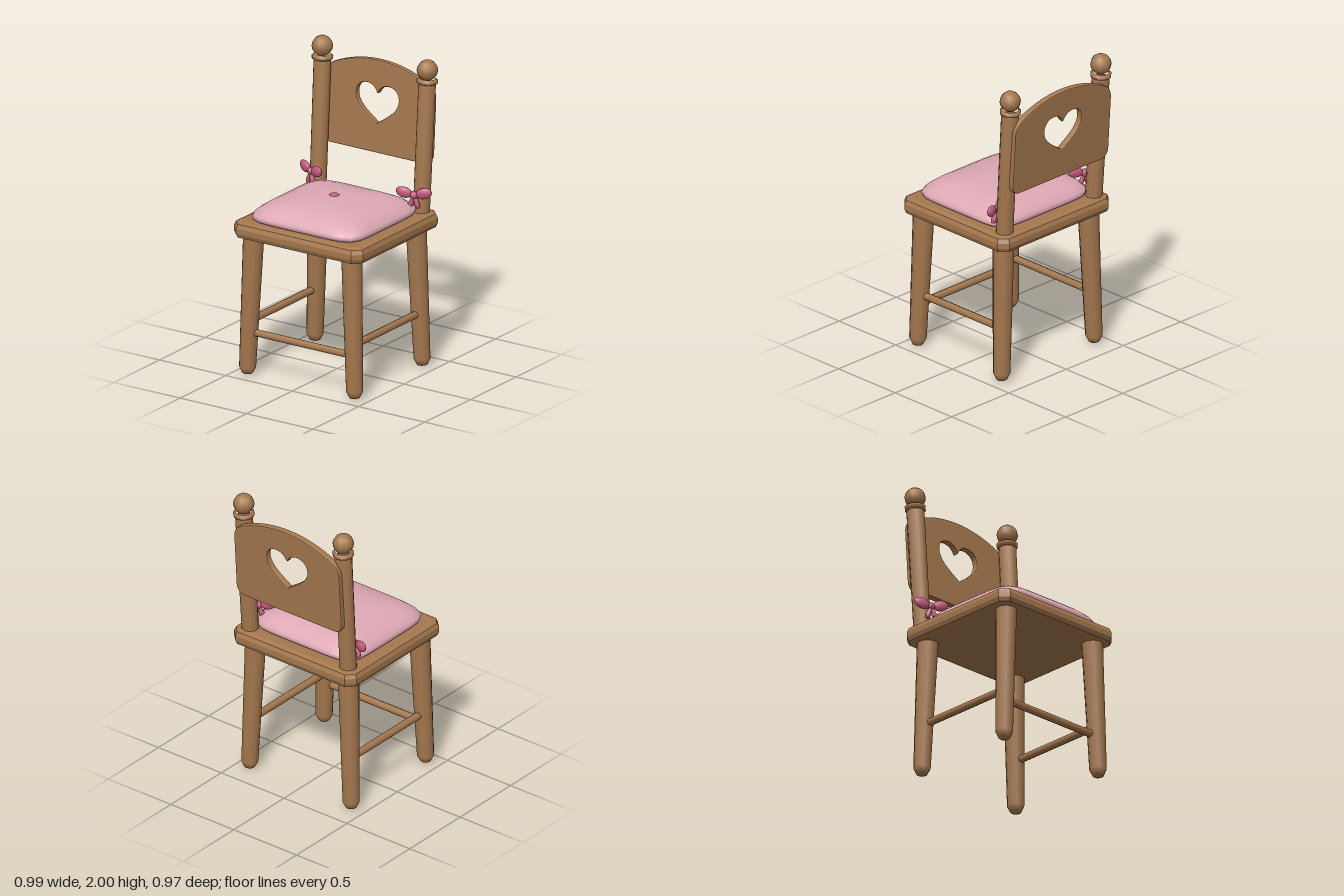
import * as THREE from 'three';

const wood = new THREE.MeshStandardMaterial({ color: 0xa5784e });
wood.name = 'wood';
const cushionPink = new THREE.MeshStandardMaterial({ color: 0xdda8b4 });
cushionPink.name = 'cushion pink';
const ribbonPink = new THREE.MeshStandardMaterial({ color: 0xc45c7c });
ribbonPink.name = 'ribbon pink';

const V = (x, y, z) => new THREE.Vector3(x, y, z);

function add(parent, name, geometry, material) {
  const mesh = new THREE.Mesh(geometry, material);
  mesh.name = name;
  parent.add(mesh);
  return mesh;
}

// Turned rod from a to b; profile holds [radius, distance along the rod]
function rod(parent, name, a, b, profile, material, sides = 10) {
  const points = profile.map(([r, d]) => new THREE.Vector2(r, d));
  const mesh = add(parent, name, new THREE.LatheGeometry(points, sides), material);
  mesh.position.copy(a);
  mesh.quaternion.setFromUnitVectors(V(0, 1, 0), b.clone().sub(a).normalize());
  return mesh;
}

// Seat board: square with cut corners and bevelled edges
function seatGeometry() {
  const bevel = 0.04, w = 0.487 - bevel, d = 0.463 - bevel, c = 0.03;
  const shape = new THREE.Shape([
    [-w + c, -d], [w - c, -d], [w, -d + c], [w, d - c],
    [w - c, d], [-w + c, d], [-w, d - c], [-w, -d + c],
  ].map(([x, y]) => new THREE.Vector2(x, y)));
  const g = new THREE.ExtrudeGeometry(shape, {
    depth: 0.034, bevelEnabled: true, bevelSize: bevel, bevelThickness: 0.038, bevelSegments: 2,
  });
  return g.rotateX(-Math.PI / 2).translate(0.002, 0.948, 0.024);
}

// Back panel: arched top, round corners, heart cut-out; y is measured from the lower edge
function panelGeometry() {
  const w = 0.41, b = 0.008;
  const s = new THREE.Shape();
  s.moveTo(-w + 0.06, b);
  s.lineTo(w - 0.06, b);
  s.quadraticCurveTo(w, b, w, 0.07);
  s.lineTo(w, 0.42);
  s.quadraticCurveTo(w, 0.48, w - 0.06, 0.511);
  s.quadraticCurveTo(0.18, 0.592, 0, 0.592);
  s.quadraticCurveTo(-0.18, 0.592, -w + 0.06, 0.511);
  s.quadraticCurveTo(-w, 0.48, -w, 0.42);
  s.lineTo(-w, 0.07);
  s.quadraticCurveTo(-w, b, -w + 0.06, b);
  const h = new THREE.Path();
  h.moveTo(0, 0.18);
  h.bezierCurveTo(0.07, 0.23, 0.168, 0.28, 0.168, 0.365);
  h.bezierCurveTo(0.168, 0.465, 0.03, 0.475, 0, 0.395);
  h.bezierCurveTo(-0.03, 0.475, -0.168, 0.465, -0.168, 0.365);
  h.bezierCurveTo(-0.168, 0.28, -0.07, 0.23, 0, 0.18);
  s.holes.push(h);
  return new THREE.ExtrudeGeometry(s, {
    depth: 0.026, bevelEnabled: true, bevelSize: b, bevelThickness: 0.008, bevelSegments: 2, curveSegments: 10,
  }).translate(0, 0, -0.013);
}

// Cushion: rounded-square rings rising into a soft dome
function cushionGeometry() {
  const rings = [ // scale, height, squareness
    [0, 1.02, 7], [0.95, 1.02, 7], [0.985, 1.03, 7], [1, 1.046, 7], [0.985, 1.062, 7], [0.94, 1.083, 6.5],
    [0.87, 1.105, 6], [0.76, 1.126, 5.5], [0.6, 1.144, 5], [0.4, 1.156, 4], [0.2, 1.161, 3], [0, 1.162, 2],
  ];
  const n = 48, pos = [], index = [];
  rings.forEach(([s, y, p]) => {
    for (let i = 0; i < n; i++) {
      const a = (i / n) * Math.PI * 2, c = Math.cos(a), q = Math.sin(a);
      const r = s / Math.pow(Math.abs(c) ** p + Math.abs(q) ** p, 1 / p);
      pos.push(0.003 + 0.415 * r * c, y, 0.045 + 0.392 * r * q);
    }
  });
  for (let k = 0; k < rings.length - 1; k++) {
    for (let i = 0; i < n; i++) {
      const j = (i + 1) % n, a = k * n + i, b = k * n + j, c = a + n, d = b + n;
      if (k > 0) index.push(a, c, b);
      if (k < rings.length - 2) index.push(b, c, d);
      if (k === 0) index.push(a, c, d);
    }
  }
  const g = new THREE.BufferGeometry();
  g.setAttribute('position', new THREE.Float32BufferAttribute(pos, 3));
  g.setIndex(index);
  g.computeVertexNormals();
  return g;
}

// Ribbon bow with two loops, a knot and two tails
function makeBow(side) {
  const bow = new THREE.Group();
  bow.name = side > 0 ? 'leftBow' : 'rightBow';
  add(bow, 'knot', new THREE.SphereGeometry(0.026, 8, 6), ribbonPink);
  for (const t of [-1, 1]) {
    const loop = add(bow, 'loop', new THREE.SphereGeometry(1, 10, 8), ribbonPink);
    loop.scale.set(0.054, 0.036, 0.021);
    loop.position.set(t * 0.063, 0.014, 0);
    loop.rotation.z = t * 0.25;
    rod(bow, 'tail', V(0, 0, 0), V(t * 0.03, -0.085, 0.004),
      [[0, 0], [0.011, 0.01], [0.018, 0.065], [0.012, 0.086], [0, 0.092]], ribbonPink, 8);
  }
  bow.position.set(side * 0.388, 1.147, -0.27);
  bow.rotation.y = side * 0.37;
  return bow;
}

export function createModel() {
  const chair = new THREE.Group();
  chair.name = 'chair';

  add(chair, 'seat', seatGeometry(), wood);
  add(chair, 'cushion', cushionGeometry(), cushionPink);
  const button = add(chair, 'cushionButton', new THREE.SphereGeometry(0.033, 10, 8), ribbonPink);
  button.scale.y = 0.4;
  button.position.set(0.002, 1.16, 0.041);

  const leg = [[0, 0], [0.034, 0.012], [0.055, 0.055], [0.069, 0.94]];
  const post = [[0.055, 0], [0.057, 0.84], [0, 0.84]];
  const ring = [[0.05, 0], [0.067, 0.008], [0.067, 0.028], [0.05, 0.036]];
  for (const s of [-1, 1]) {
    // Splayed legs and side rails
    rod(chair, 'frontLeg', V(s * 0.405, 0.002, 0.403), V(s * 0.37, 0.93, 0.383), leg, wood);
    rod(chair, 'backLeg', V(s * 0.405, 0.002, -0.338), V(s * 0.37, 0.93, -0.32), leg, wood);
    rod(chair, 'sideRail', V(s * 0.392, 0.355, -0.33), V(s * 0.392, 0.355, 0.39),
      [[0.024, 0], [0.024, 0.72]], wood, 8);

    // Leaning posts with a ring and a ball on top
    const foot = V(s * 0.39, 1.0, -0.348), top = V(s * 0.395, 1.86, -0.406);
    rod(chair, 'backPost', foot, top, post, wood);
    rod(chair, 'postRing', foot.clone().lerp(top, 0.98), top.clone().lerp(foot, -1), ring, wood, 12);
    const ball = add(chair, 'postBall', new THREE.SphereGeometry(0.067, 10, 8), wood);
    ball.position.set(s * 0.396, 1.933, -0.406);

    chair.add(makeBow(s));
  }
  rod(chair, 'frontRail', V(-0.39, 0.286, 0.397), V(0.39, 0.286, 0.397), [[0.024, 0], [0.024, 0.78]], wood, 8);

  // Panel leans back with the posts
  const panel = add(chair, 'backPanel', panelGeometry(), wood);
  panel.position.set(0, 1.305, -0.428);
  panel.rotation.x = -0.066;
  return chair;
}
